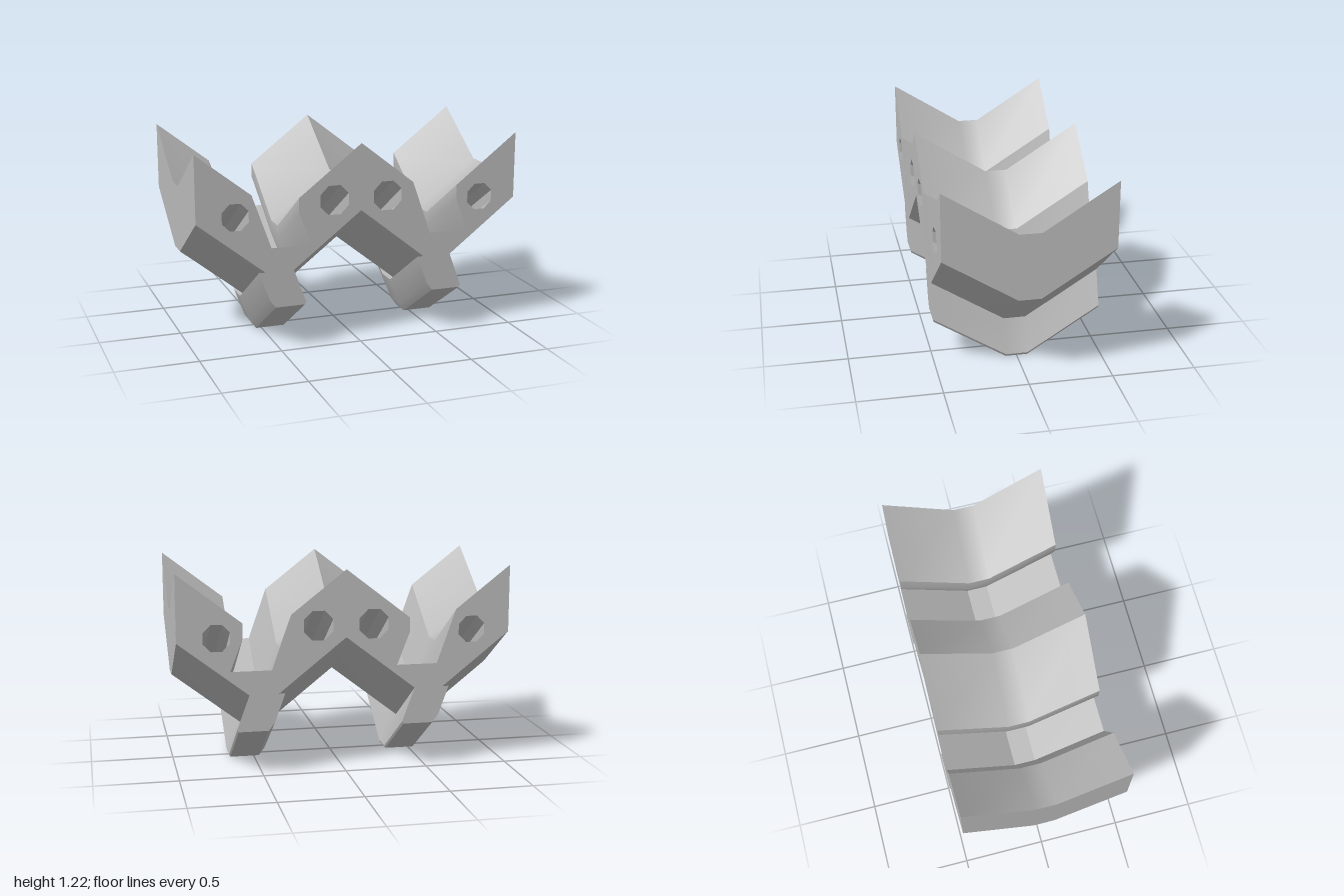
import * as THREE from 'three';
import { toCreasedNormals } from 'three/addons/utils/BufferGeometryUtils.js';

// Half-width of the flat middle, and how far the middle sinks below the ends
const FLAT = 0.066, DROP = 0.275;

// Outline of one zigzag unit, relative to its left end; the unit is 1 wide
const UPPER = [[0, 1.223], [0.33, 0.965], [0.445, 0.64], [0.69, 0.64], [0.615, 0.835], [0.615, 0.925]];
const LOWER = [[0, 0.82], [0.405, 0.497], [0.367, 0.497], [0.43, 0.325], [0.467, 0.275],
  [0.647, 0.275], [0.655, 0.29], [0.58, 0.495]];

function octagonHole(x, y, r) {
  const points = [];
  for (let i = 0; i < 8; i++) {
    const a = (i + 0.5) * Math.PI / 4;
    points.push(new THREE.Vector2(x + r * Math.cos(a), y + r * Math.sin(a)));
  }
  return new THREE.Path(points);
}

export function createModel() {
  const group = new THREE.Group();
  group.name = 'zigzagJoint';
  const grey = new THREE.MeshStandardMaterial({ color: 0xbbbbbb });
  grey.name = 'lightGrey';

  // Two repeated units joined into one closed outline
  const row = (unit) => [-1, 0].flatMap((x0) => unit.map(([x, y]) => new THREE.Vector2(x + x0, y)));
  const top = [...row(UPPER), new THREE.Vector2(1, 1.223)];
  const bottom = [...row(LOWER), new THREE.Vector2(1, 0.82)];
  const shape = new THREE.Shape([...bottom, ...top.reverse()]);

  // Mirrored pairs of through holes
  for (const side of [-1, 1]) {
    shape.holes.push(octagonHole(side * 0.167, 0.895, 0.095));
    shape.holes.push(octagonHole(side * 0.768, 0.842, 0.086));
  }

  // Extrude in three steps, then bend the run into a V with a flat middle
  const geometry = new THREE.ExtrudeGeometry(shape, { depth: 3, steps: 3, bevelEnabled: false });
  const zStops = [-0.5, -FLAT, FLAT, 0.5];
  const pos = geometry.attributes.position;
  for (let i = 0; i < pos.count; i++) {
    const step = Math.round(pos.getZ(i));
    pos.setZ(i, zStops[step]);
    if (step === 1 || step === 2) pos.setY(i, pos.getY(i) - DROP);
  }

  const body = new THREE.Mesh(toCreasedNormals(geometry, Math.PI / 6), grey);
  body.name = 'jointBody';
  group.add(body);
  return group;
}
